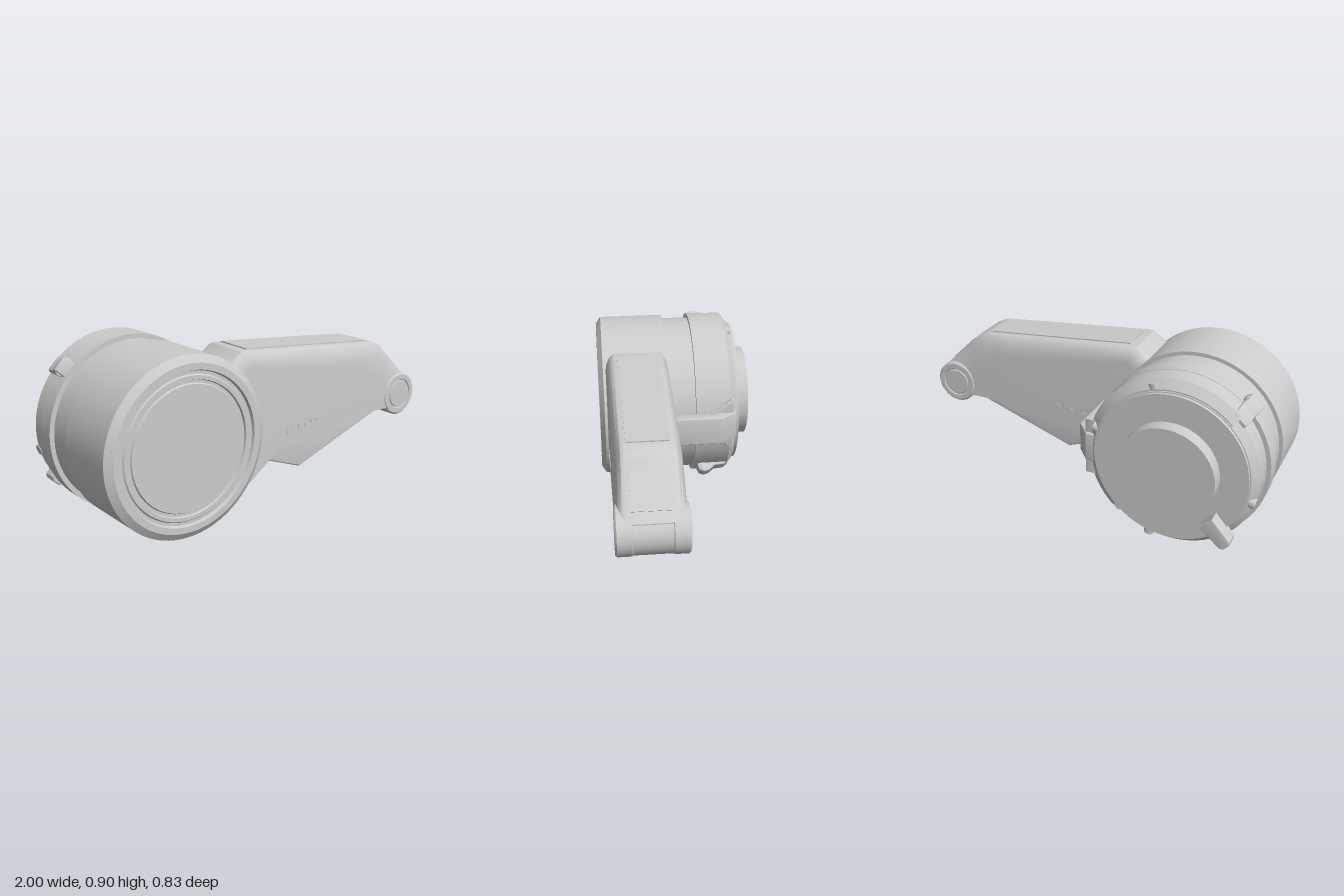
import * as THREE from 'three';
import { toCreasedNormals } from 'three/addons/utils/BufferGeometryUtils.js';

const material = new THREE.MeshStandardMaterial({ color: 0xcccccc });
const CX = -0.555, CY = 0.453;   // motor axis
const ARM_Z = 0.2125;            // middle of the arm's width
const PX = 0.88, PY = 0.455;     // pivot axis

function add(parent, name, geometry, crease = 0.5) {
  const mesh = new THREE.Mesh(toCreasedNormals(geometry, crease), material);
  mesh.name = name;
  parent.add(mesh);
  return mesh;
}

// Turned part about the z axis; profile points are [radius, z], back to front
function turned(points, segments = 72, start = 0, sweep = Math.PI * 2) {
  return new THREE.LatheGeometry(points.map(p => new THREE.Vector2(...p)), segments, start, sweep).rotateX(Math.PI / 2);
}

// Flat polygon extruded along z from 0 to depth, with optional small bevel
function prism(points, depth, bevel = 0) {
  const g = new THREE.ExtrudeGeometry(new THREE.Shape(points.map(p => new THREE.Vector2(...p))), {
    depth: depth - 2 * bevel, bevelEnabled: bevel > 0, bevelSize: bevel, bevelOffset: -bevel,
    bevelThickness: bevel, bevelSegments: 3,
  });
  return g.translate(0, 0, bevel);
}

// Arm body: sections along x with straight sides and rounded upper edges
function armGeometry() {
  // x, bottom, shoulder, top
  const stations = [
    [-0.28, 0.105, 0.70, 0.79], [-0.2, 0.165, 0.74, 0.848], [-0.17, 0.187, 0.77, 0.85],
    [0, 0.31, 0.742, 0.834], [0.54, 0.39, 0.655, 0.784], [0.6, 0.39, 0.645, 0.778],
    [0.69, 0.39, 0.575, 0.77], [0.75, 0.39, 0.53, 0.742], [0.8, 0.388, 0.49, 0.695],
    [0.965, 0.4, 0.46, 0.535],
  ];
  const half = 0.163, round = 0.05, steps = 6;
  const positions = [], index = [];
  const n = 2 * (steps + 2);
  for (const [x, bottom, shoulder, top] of stations) {
    const side = [[half, bottom]];
    for (let k = 0; k <= steps; k++) {
      const a = (k / steps) * Math.PI / 2;
      side.push([half - round + round * Math.cos(a), shoulder + (top - shoulder) * Math.sin(a)]);
    }
    const loop = [...side, ...side.map(([z, y]) => [-z, y]).reverse()];
    for (const [z, y] of loop) positions.push(x, y, ARM_Z + z);
  }
  for (let i = 0; i < stations.length - 1; i++) {
    for (let j = 0; j < n; j++) {
      const a = i * n + j, b = i * n + (j + 1) % n, c = a + n, d = b + n;
      index.push(a, c, b, b, c, d);
    }
  }
  const last = (stations.length - 1) * n;
  for (let k = 1; k < n - 1; k++) {
    index.push(0, k, k + 1, last, last + k + 1, last + k);
  }
  const g = new THREE.BufferGeometry();
  g.setAttribute('position', new THREE.Float32BufferAttribute(positions, 3));
  g.setIndex(index);
  return g;
}

export function createModel() {
  const model = new THREE.Group();
  model.name = 'armWithMotor';

  // Motor: everything turned about one axis
  const motor = new THREE.Group();
  motor.name = 'motor';
  motor.position.set(CX, CY, 0);
  model.add(motor);
  add(motor, 'frontHousing', turned([
    [0.42, 0.045], [0.447, 0.045], [0.447, 0.39], [0.41, 0.415], [0.378, 0.415], [0.372, 0.4],
    [0.357, 0.4], [0.351, 0.407], [0.332, 0.407], [0.328, 0.396], [0.315, 0.396], [0.31, 0.404], [0, 0.404],
  ]), 0.4);
  add(motor, 'motorBody', turned([
    [0.39, -0.325], [0.395, -0.325], [0.43, -0.29], [0.43, -0.19], [0.452, -0.19],
    [0.452, -0.1], [0.428, -0.1], [0.428, 0.05],
  ]), 0.4);
  add(motor, 'rearHub', turned([
    [0, -0.415], [0.25, -0.415], [0.25, -0.342], [0.39, -0.342], [0.39, -0.32],
  ]), 0.4);

  // Half collar clamped around the rear ring, ending under the two lugs
  add(motor, 'clampCollar', turned([
    [0.39, -0.322], [0.405, -0.322], [0.45, -0.287], [0.45, -0.188], [0.42, -0.188],
  ], 40, Math.PI / 4, Math.PI), 0.4);

  // Clamp lugs with tangential screws
  for (const angle of [-Math.PI / 4, Math.PI * 3 / 4]) {
    const lug = new THREE.Group();
    lug.name = 'clampLug';
    lug.rotation.z = angle;
    motor.add(lug);
    const outline = [
      [0.41, -0.12], [0.465, -0.12], [0.488, -0.13], [0.498, -0.155], [0.49, -0.185],
      [0.465, -0.215], [0.46, -0.27], [0.44, -0.295], [0.41, -0.295],
    ];
    // outline lies in the radial / z plane
    add(lug, 'lugBody', prism(outline, 0.085, 0.008).rotateX(Math.PI / 2)
      .scale(1, 1, 1).translate(0, 0.0425, 0));
    const screw = add(lug, 'lugScrew', new THREE.CylinderGeometry(0.021, 0.021, 0.095, 20));
    screw.position.set(0.463, 0, -0.155);
    const socket = add(lug, 'screwSocket', new THREE.CylinderGeometry(0.011, 0.011, 0.1, 6));
    socket.position.copy(screw.position);
  }

  // Small screws on the rear chamfer
  for (const degrees of [16, 75, 195, 285]) {
    const pivot = new THREE.Group();
    pivot.name = 'chamferScrew';
    pivot.rotation.z = THREE.MathUtils.degToRad(degrees);
    motor.add(pivot);
    const screw = add(pivot, 'screwHead', new THREE.CylinderGeometry(0.026, 0.026, 0.03, 20));
    screw.position.set(0.418, 0, -0.298);
    screw.rotation.z = -Math.PI / 2;
  }

  // Stop tab on the rear face
  const tab = add(motor, 'rearTab', prism([
    [0.3, -0.045], [0.44, -0.035], [0.455, -0.02], [0.455, 0.02], [0.44, 0.035], [0.3, 0.045],
  ], 0.085, 0.006));
  tab.position.z = -0.407;
  tab.rotation.z = -Math.PI * 0.75;

  // Bar joining the collar to the arm; outline is [x, -z]
  const bar = add(model, 'connectorBar', prism([
    [-0.09, -0.06], [-0.03, -0.06], [-0.03, 0.23], [-0.1, 0.315], [-0.17, 0.315], [-0.17, 0.19], [-0.09, 0.19],
  ], 0.155, 0.008).rotateX(-Math.PI / 2));
  bar.position.y = 0.375;
  // Flare where the bar spreads into the collar; outline is [-z, y]
  const flare = add(model, 'connectorFlare', prism([
    [0.18, 0.375], [0.22, 0.375], [0.29, 0.3], [0.3, 0.3], [0.3, 0.6], [0.29, 0.6], [0.2, 0.54], [0.18, 0.53],
  ], 0.075, 0.01).rotateY(Math.PI / 2));
  flare.position.x = -0.165;

  // Arm
  add(model, 'armBody', armGeometry(), 0.45);
  const keel = add(model, 'armKeel', prism([
    [-0.12, 0.36], [-0.06, 0.265], [0.2, 0.17], [0.8, 0.383], [0.78, 0.42], [0.5, 0.42],
  ], 0.225, 0.01));
  keel.position.z = 0.1;
  const panel = add(model, 'topPanel', new THREE.BoxGeometry(0.82, 0.012, 0.2));
  panel.position.set(0.255, 0.8105, ARM_Z);
  panel.rotation.z = -0.092;
  const endPanel = add(model, 'endPanel', new THREE.BoxGeometry(0.19, 0.01, 0.185));
  endPanel.position.set(0.857, 0.639, ARM_Z);
  endPanel.rotation.z = -0.767;

  // Pivot knuckle: two cheeks around a slightly slimmer middle
  const knuckle = turned([
    [0, 0.045], [0.07, 0.045], [0.073, 0.05], [0.08, 0.05], [0.083, 0.045], [0.108, 0.045], [0.117, 0.053],
    [0.117, 0.12], [0.113, 0.123], [0.113, 0.302], [0.117, 0.305], [0.117, 0.372], [0.108, 0.38],
    [0.083, 0.38], [0.08, 0.375], [0.073, 0.375], [0.07, 0.38], [0, 0.38],
  ], 48);
  add(model, 'pivotKnuckle', knuckle, 0.4).position.set(PX, PY, 0);

  // Three ringed holes on each side of the arm
  for (const [x, y] of [[0.085, 0.405], [0.165, 0.417], [0.247, 0.43]]) {
    const ring = turned([
      [0.015, -0.166], [0.024, -0.166], [0.024, 0.166], [0.015, 0.166], [0.015, 0.1635], [0, 0.1635],
    ], 20);
    add(model, 'sideHoleRim', ring, 0.4).position.set(x, y, ARM_Z);
  }
  return model;
}
